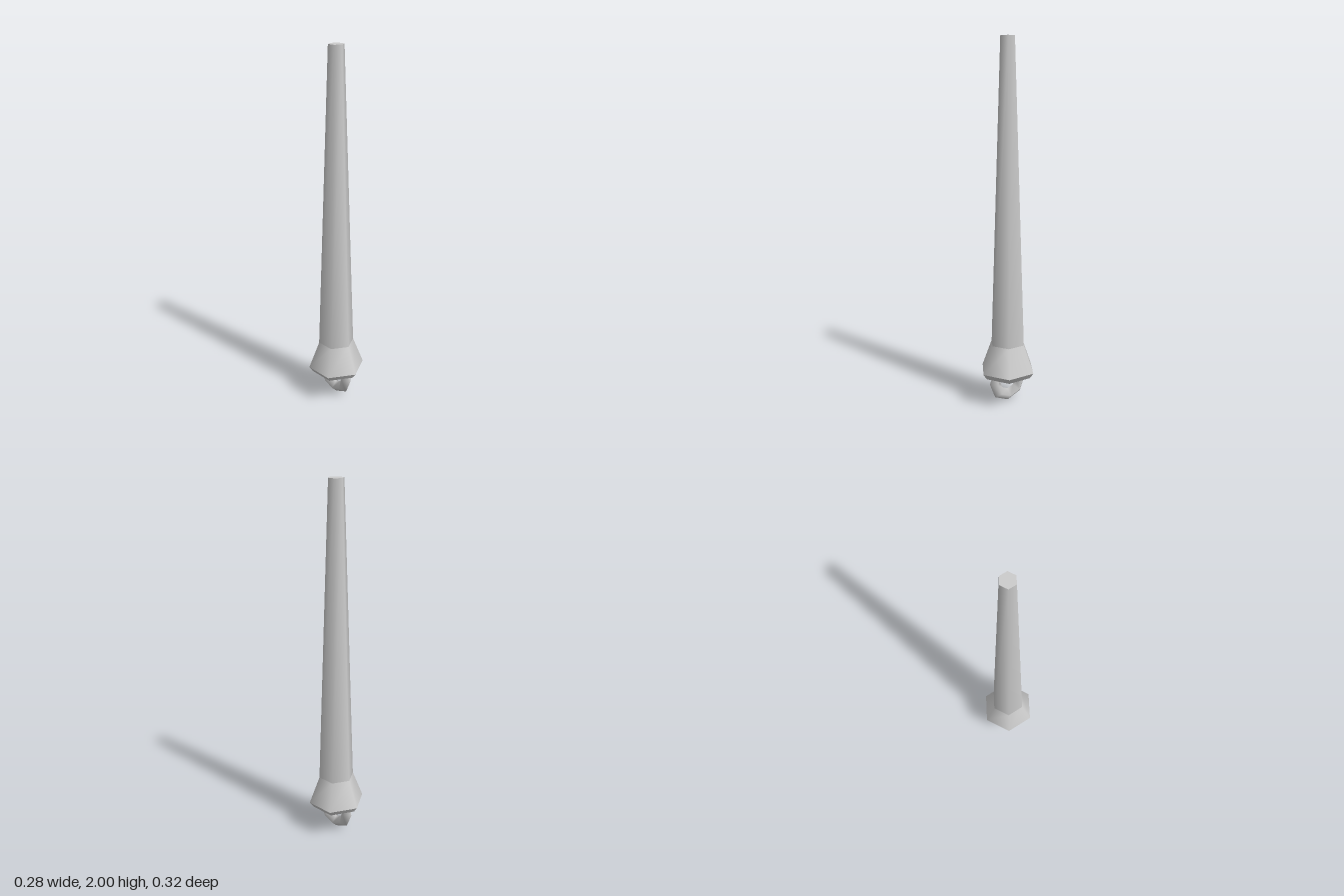
import * as THREE from 'three';

const SIDES = 6;

export function createModel() {
  const model = new THREE.Group();
  const material = new THREE.MeshStandardMaterial({ color: 0xcccccc });

  const add = (name, geometry, y) => {
    const mesh = new THREE.Mesh(geometry, material);
    mesh.name = name;
    mesh.position.y = y;
    model.add(mesh);
    return mesh;
  };

  // Tapered hexagonal section between two heights, corners on the z axis
  const section = (name, bottomY, bottomR, topY, topR, open) =>
    add(name, new THREE.CylinderGeometry(topR, bottomR, topY - bottomY, SIDES, 1, open), (bottomY + topY) / 2);

  // Long shaft, closed at the tip
  section('shaft', 0.34, 0.1, 2, 0.042, false);

  // Flared collar with a chamfered lower rim and flat underside
  section('collar', 0.185, 0.159, 0.34, 0.1, true);
  section('collarRim', 0.155, 0.138, 0.185, 0.159, false);

  // Eight-segment hanging ring with a diamond cross-section, lying in the yz plane
  const ring = add('hangingRing', new THREE.TorusGeometry(0.084, 0.034, 4, 8), 0.118);
  ring.rotation.y = Math.PI / 2;

  return model;
}
